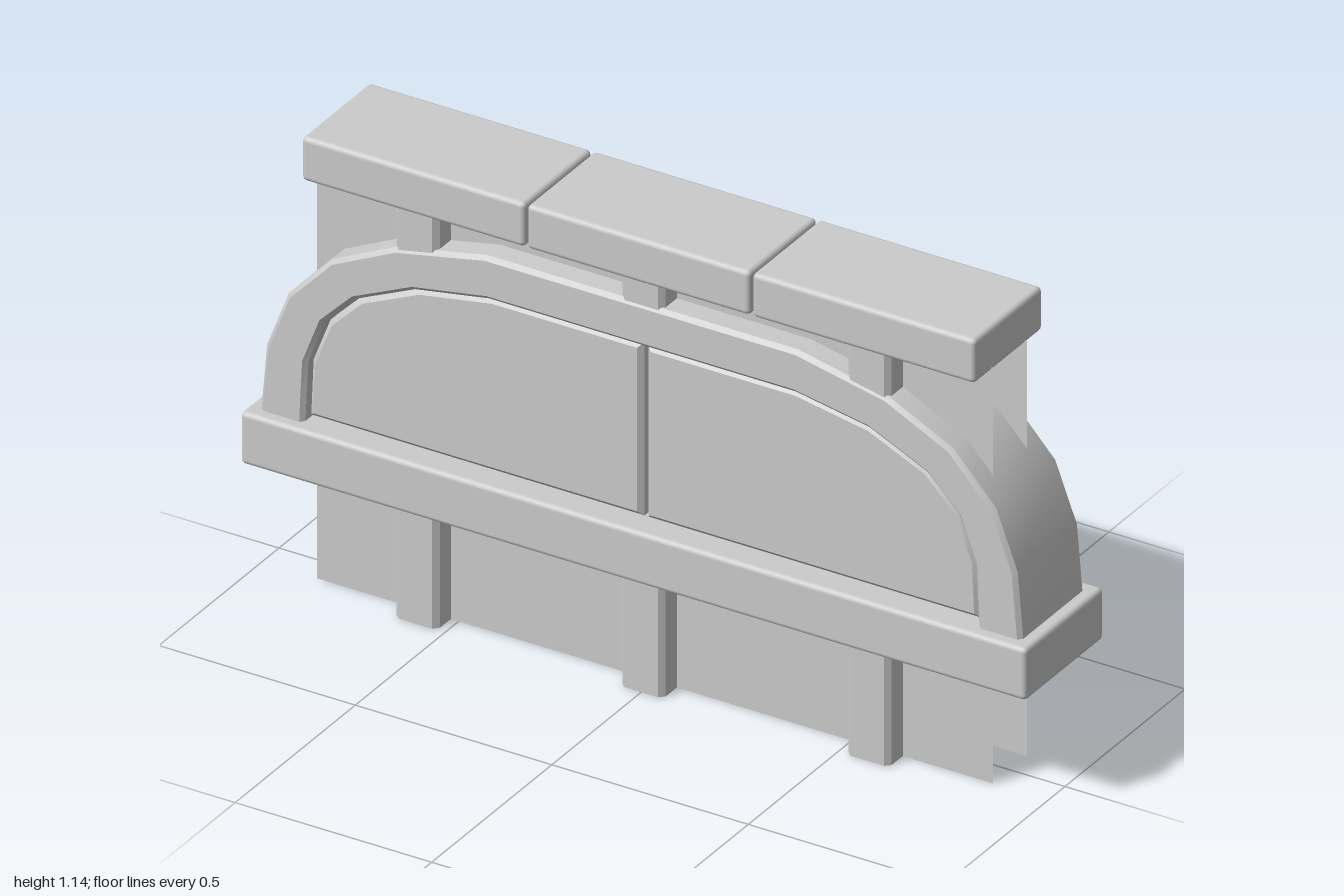
import * as THREE from 'three';
import { toCreasedNormals } from 'three/addons/utils/BufferGeometryUtils.js';
import { RoundedBoxGeometry } from 'three/addons/geometries/RoundedBoxGeometry.js';

const solid = new THREE.MeshStandardMaterial({ color: 0xcccccc });
const open = new THREE.MeshStandardMaterial({ color: 0xcccccc, side: THREE.DoubleSide });

// Left half of the arch, from the sill up to the flat crown
const outer = [[-0.97, 0.41], [-0.955, 0.583], [-0.9, 0.727], [-0.79, 0.845], [-0.626, 0.925], [-0.396, 0.973]];
const inner = [[-0.858, 0.41], [-0.85, 0.572], [-0.807, 0.684], [-0.727, 0.765], [-0.578, 0.833], [-0.39, 0.866]];
const middle = outer.map(([x, y], i) => [(x + inner[i][0]) / 2, (y + inner[i][1]) / 2]);

const flip = (pts) => pts.map(([x, y]) => [-x, y]).reverse();
const shapeOf = (pts) => new THREE.Shape(pts.map(([x, y]) => new THREE.Vector2(x, y)));

function add(parent, name, geometry, material = solid, x = 0, y = 0, z = 0) {
  const mesh = new THREE.Mesh(geometry, material);
  mesh.name = name;
  mesh.position.set(x, y, z);
  parent.add(mesh);
  return mesh;
}

// Chamfered slab standing between z0 and z1, smooth along its curve
function slab(pts, z0, z1, bevel) {
  const geo = new THREE.ExtrudeGeometry(shapeOf(pts), {
    depth: z1 - z0 - 2 * bevel, bevelEnabled: true, bevelSegments: 1,
    bevelSize: bevel, bevelThickness: bevel, bevelOffset: -bevel,
  });
  geo.translate(0, 0, z0 + bevel);
  return toCreasedNormals(geo, 0.6);
}

// Block with softened edges
function block(w, h, d) {
  return new RoundedBoxGeometry(w, h, d, 2, 0.012);
}

// Open-ended post with chamfered upright edges
function postGeometry(y0, y1) {
  const w = 0.055, d = 0.128, c = 0.012;
  const shape = shapeOf([
    [-w + c, -d], [w - c, -d], [w, -d + c], [w, d - c],
    [w - c, d], [-w + c, d], [-w, d - c], [-w, -d + c],
  ]);
  const full = new THREE.ExtrudeGeometry(shape, { depth: y1 - y0, bevelEnabled: false });
  const { start, count } = full.groups[1];
  const pos = full.attributes.position.array.slice(start * 3, (start + count) * 3);
  const walls = new THREE.BufferGeometry();
  walls.setAttribute('position', new THREE.BufferAttribute(pos, 3));
  walls.computeVertexNormals();
  walls.rotateX(-Math.PI / 2);
  walls.translate(0, y0, 0);
  return walls;
}

export function createModel() {
  const model = new THREE.Group();
  model.name = 'shutteredWindowWall';

  // Sill and the three coping blocks on top
  add(model, 'sill', block(2, 0.13, 0.326), solid, 0, 0.355, 0);
  for (const i of [-1, 0, 1]) {
    add(model, 'copingBlock', block(0.568, 0.11, 0.284), solid, i * 0.573, 1.085, 0);
  }

  // Thin wall skins below the sill and above the arch
  const lower = [[-0.86, 0], [0.86, 0], [0.86, 0.36], [-0.86, 0.36]];
  const curve = [[-0.86, 0.69], ...middle.slice(2)];
  const upper = [...curve, ...flip(curve), [0.86, 1.04], [-0.86, 1.04]];
  for (const z of [-0.07, 0.07]) {
    add(model, 'lowerWall', new THREE.ShapeGeometry(shapeOf(lower)), open, 0, 0, z);
    add(model, 'upperWall', new THREE.ShapeGeometry(shapeOf(upper)), open, 0, 0, z);
  }

  // Posts passing through the wall
  for (const x of [-0.575, 0, 0.575]) {
    add(model, 'lowerPost', postGeometry(0, 0.35), open, x);
    add(model, 'upperPost', postGeometry(0.9, 1.05), open, x);
  }

  // Arched frame
  const arch = [...outer, ...flip(outer), ...flip(flip(inner)).reverse()];
  arch.splice(outer.length * 2, inner.length, ...flip(inner).reverse(), ...inner.slice().reverse());
  add(model, 'archFrame', slab(arch, -0.133, 0.133, 0.01));

  // Pair of shutters near the front of the opening
  const leaf = [[-0.853, 0.43], ...inner.slice(1).map(([x, y]) => [x + 0.003, y - 0.003]), [-0.005, 0.863], [-0.005, 0.43]];
  add(model, 'rightShutter', slab(leaf, 0.06, 0.118, 0.012));
  add(model, 'leftShutter', slab(flip(leaf), 0.06, 0.118, 0.012));

  return model;
}
